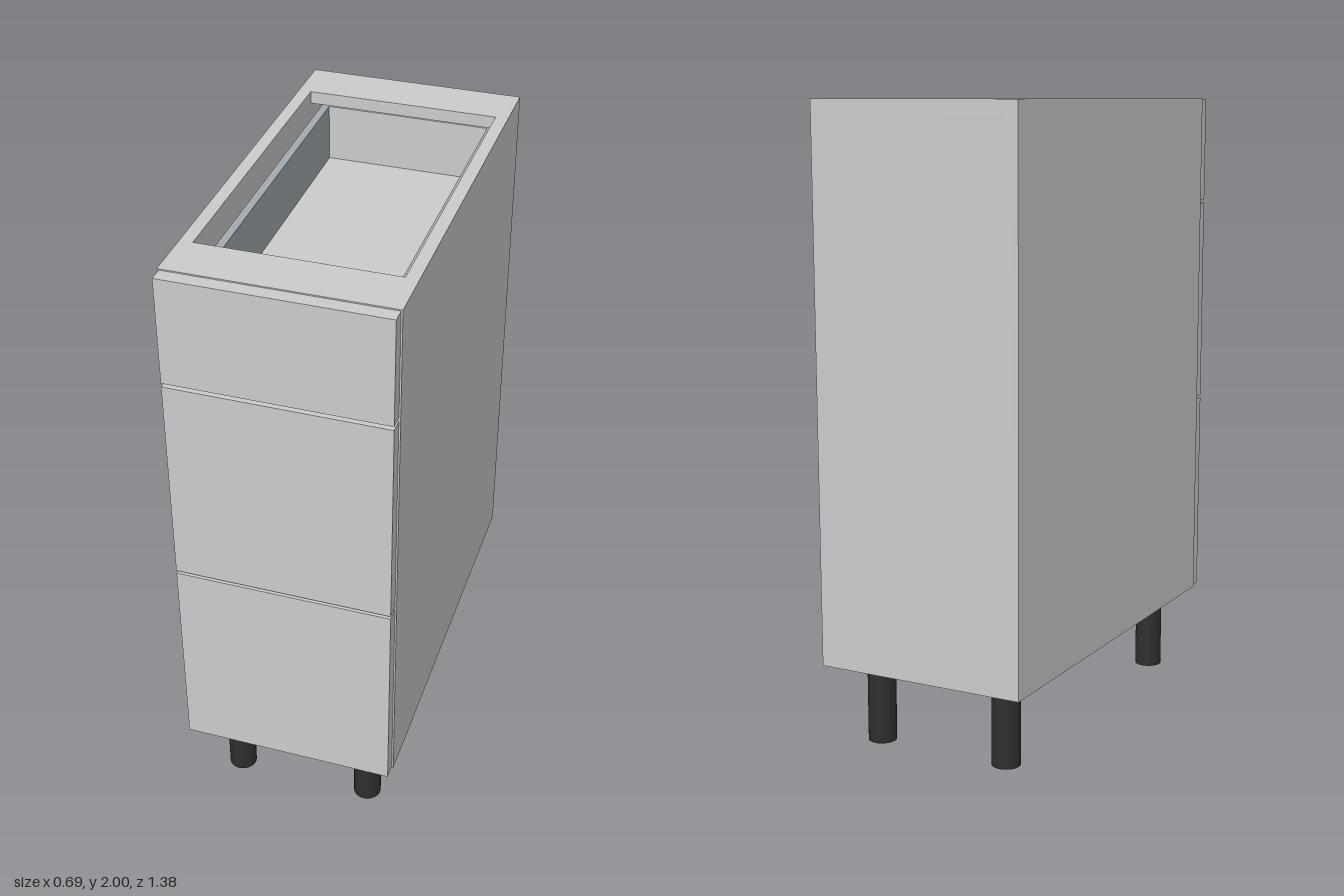
import * as THREE from 'three';

const grey = new THREE.MeshStandardMaterial({ color: 0xcccccc });
const steel = new THREE.MeshStandardMaterial({ color: 0xa3abb0 });
const black = new THREE.MeshStandardMaterial({ color: 0x2c2e30 });

// Box given by its minimum and maximum on each axis
function box(parent, name, [x0, x1], [y0, y1], [z0, z1], material = grey) {
  const mesh = new THREE.Mesh(new THREE.BoxGeometry(x1 - x0, y1 - y0, z1 - z0), material);
  mesh.position.set((x0 + x1) / 2, (y0 + y1) / 2, (z0 + z1) / 2);
  mesh.name = name;
  parent.add(mesh);
  return mesh;
}

const W = 0.345, T = 0.04, IN = W - T;       // half width, board thickness, inner half width
const BOTTOM = 0.267, TOP = 2;
const BACK = -0.69, FACE = 0.645, FRONT = 0.69;

function createCarcass() {
  const g = new THREE.Group();
  g.name = 'carcass';
  box(g, 'rightSidePanel', [-W, -IN], [BOTTOM, TOP], [BACK, FACE]);
  box(g, 'leftSidePanel', [IN, W], [BOTTOM, TOP], [BACK, FACE]);
  box(g, 'bottomPanel', [-IN, IN], [BOTTOM, BOTTOM + T], [BACK, FACE]);
  box(g, 'backPanel', [-IN, IN], [BOTTOM + T, TOP - T], [BACK, BACK + 0.02]);
  box(g, 'backTopRail', [-IN, IN], [TOP - T, TOP], [BACK, -0.525]);
  box(g, 'frontTopRail', [-IN, IN], [TOP - T, TOP], [0.485, FACE]);
  return g;
}

// Drawer: flat front, metal sides, board bottom and back
function createDrawer(y0, y1) {
  const g = new THREE.Group();
  g.name = 'drawer';
  const base = y0 + 0.065, rim = base + 0.205, rear = -0.61;
  box(g, 'drawerFront', [-0.34, 0.34], [y0, y1], [FACE, FRONT]);
  box(g, 'drawerRightSide', [-0.29, -0.265], [base, rim], [rear, FACE], steel);
  box(g, 'drawerLeftSide', [0.265, 0.29], [base, rim], [rear, FACE], steel);
  box(g, 'drawerBottom', [-0.265, 0.265], [base, base + 0.02], [rear, FACE]);
  box(g, 'drawerBack', [-0.265, 0.265], [base + 0.02, rim], [rear, rear + 0.02]);
  return g;
}

export function createModel() {
  const model = new THREE.Group();
  model.name = 'drawerCabinet';
  model.add(createCarcass());

  for (const [y0, y1] of [[0.272, 0.953], [0.963, 1.643], [1.655, 1.996]]) {
    model.add(createDrawer(y0, y1));
  }

  // Four round legs
  const legGeometry = new THREE.CylinderGeometry(0.045, 0.045, BOTTOM, 32);
  for (const x of [-0.223, 0.223]) {
    for (const z of [-0.543, 0.525]) {
      const leg = new THREE.Mesh(legGeometry, black);
      leg.name = 'leg';
      leg.position.set(x, BOTTOM / 2, z);
      model.add(leg);
    }
  }
  return model;
}
